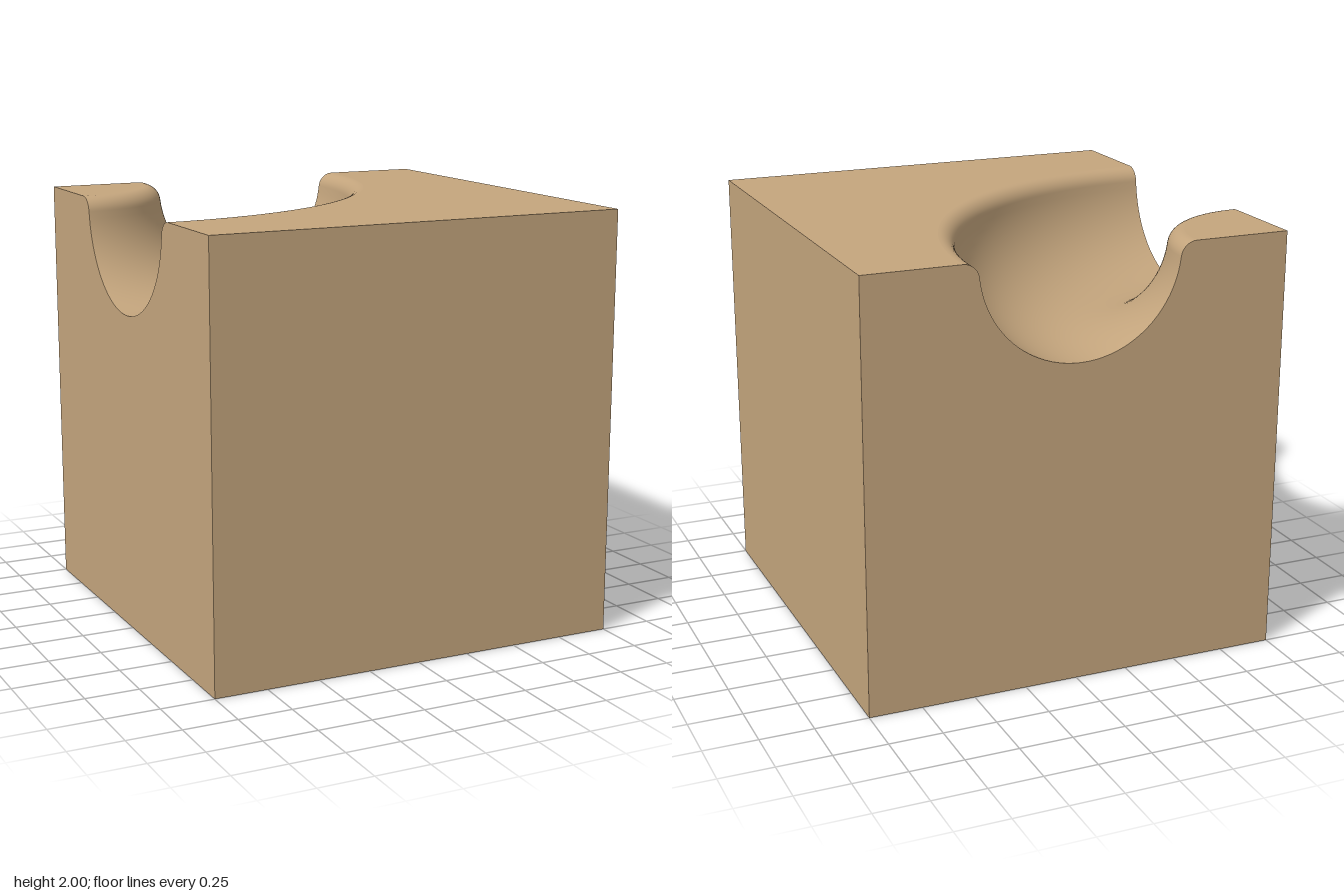
import * as THREE from 'three';

const SIZE = 2;
const GROOVE_R = 0.475;   // radius of the round groove
const LIP_R = 0.075;      // rounding of its two lips
const DROP = 0.015;       // groove centre below the top face
const MID = 1;            // groove centre line, measured from the back corner
const LIP_X = Math.sqrt((GROOVE_R + LIP_R) ** 2 - (LIP_R - DROP) ** 2);

// Groove cross-section, from the outer lip down and up to the inner lip
function grooveProfile() {
  const tilt = Math.atan2(LIP_R - DROP, LIP_X);
  const points = [];
  const arc = (cx, cy, r, from, to, n) => {
    for (let i = 0; i <= n; i++) {
      const a = from + (to - from) * i / n;
      const p = new THREE.Vector2(cx + r * Math.cos(a), cy + r * Math.sin(a));
      if (!points.length || points[points.length - 1].distanceTo(p) > 1e-5) points.push(p);
    }
  };
  arc(MID + LIP_X, SIZE - LIP_R, LIP_R, Math.PI / 2, Math.PI - tilt, 10);
  arc(MID, SIZE - DROP, GROOVE_R, -tilt, -Math.PI + tilt, 40);
  arc(MID - LIP_X, SIZE - LIP_R, LIP_R, tilt, Math.PI / 2, 10);
  return points;
}

export function createModel() {
  const model = new THREE.Group();
  model.name = 'groovedBlock';
  const wood = new THREE.MeshStandardMaterial({ color: 0xc4a57d });
  wood.name = 'tan wood';

  const add = (name, geometry, x, y, z) => {
    const mesh = new THREE.Mesh(geometry, wood);
    mesh.name = name;
    mesh.position.set(x, y, z);
    model.add(mesh);
  };

  // Plain faces
  add('frontFace', new THREE.PlaneGeometry(SIZE, SIZE), 0, 1, 1);
  add('leftFace', new THREE.PlaneGeometry(SIZE, SIZE).rotateY(Math.PI / 2), 1, 1, 0);
  add('bottomFace', new THREE.PlaneGeometry(SIZE, SIZE).rotateX(Math.PI / 2), 0, 0, 0);

  // Quarter-turn groove swept around the back corner
  const profile = grooveProfile();
  add('groove', new THREE.LatheGeometry(profile, 72, 0, Math.PI / 2), -1, 0, -1);

  // Top faces on either side of the groove
  const arcPoints = (r) => Array.from({ length: 73 }, (_, i) => {
    const a = i / 72 * Math.PI / 2;
    return new THREE.Vector2(r * Math.sin(a), -r * Math.cos(a));
  });
  const corner = (x, y) => new THREE.Vector2(x, y);
  const flatTop = (points) => new THREE.ShapeGeometry(new THREE.Shape(points)).rotateX(-Math.PI / 2);
  add('outerTop', flatTop([...arcPoints(MID + LIP_X), corner(SIZE, 0), corner(SIZE, -SIZE), corner(0, -SIZE)]), -1, SIZE, -1);
  add('innerTop', flatTop([...arcPoints(MID - LIP_X), corner(0, 0)]), -1, SIZE, -1);

  // Two faces cut by the groove
  const cutFace = (sign) => new THREE.ShapeGeometry(new THREE.Shape([
    corner(0, 0), corner(SIZE * sign, 0), corner(SIZE * sign, SIZE),
    ...profile.map((p) => corner(p.x * sign, p.y)), corner(0, SIZE),
  ]));
  add('backFace', cutFace(-1).rotateY(Math.PI), -1, 0, -1);
  add('rightFace', cutFace(1).rotateY(-Math.PI / 2), -1, 0, -1);

  return model;
}
